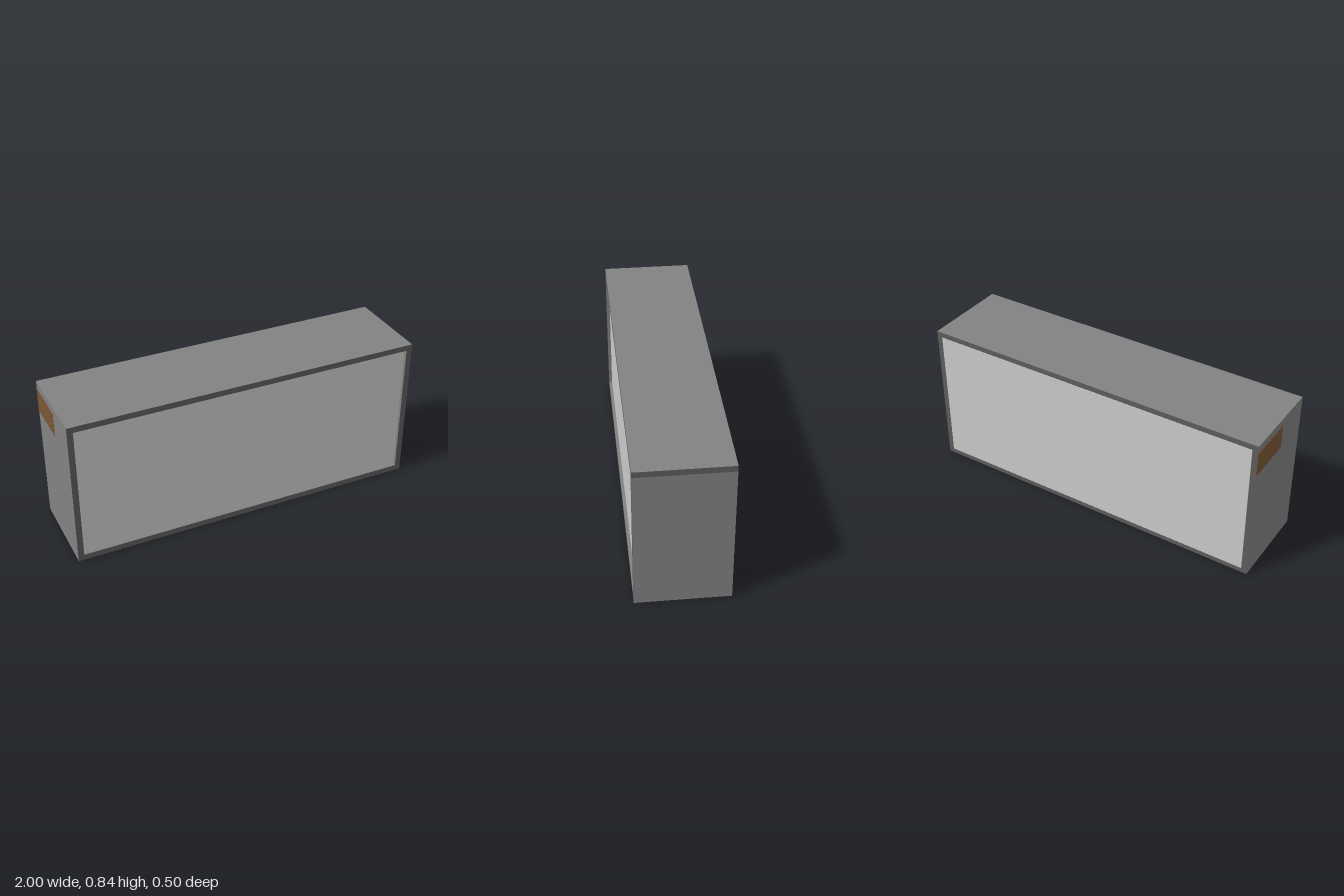
import * as THREE from 'three';

const mat = (color) => new THREE.MeshStandardMaterial({ color });

export function createModel() {
  const group = new THREE.Group();
  const body = mat(0x828282), edge = mat(0x5d5d5d), panel = mat(0xcccccc);
  const plate = mat(0xdde1df), rim = mat(0x8a4a28), fill = mat(0x7a5836);

  // box given by its lower and upper corners
  function box(name, [x0, y0, z0], [x1, y1, z1], material) {
    const mesh = new THREE.Mesh(new THREE.BoxGeometry(x1 - x0, y1 - y0, z1 - z0), material);
    mesh.position.set((x0 + x1) / 2, (y0 + y1) / 2, (z0 + z1) / 2);
    mesh.name = name;
    group.add(mesh);
    return mesh;
  }

  // case boards: lighter faces, dark cut edges at front and back
  const back = -0.25, front = 0.253, base = 0.002, top = 0.843, t = 0.033;
  const board = [body, body, body, body, edge, edge];
  const topBoard = [edge, body, body, body, edge, edge];
  box('topBoard', [-0.999, top - t, back], [1, top, front], topBoard);
  box('bottomBoard', [-0.999, base, back], [1, base + t, front], board);
  box('leftBoard', [1 - t, base + t, back], [1, top - t, front], board);
  box('rightBoard', [-0.999, base + t, back], [-0.999 + t, top - t, front], board);

  // recessed front panel and slightly proud back panel
  const w = 1 - t, low = base + t, high = top - t;
  box('frontPanel', [-w, low, 0.215], [w, high, 0.235], panel);
  box('backPanel', [-w, low - 0.004, back - 0.002], [w, high + 0.002, back + 0.02], panel);

  // rimmed label plate on the right side, near the top back corner
  box('sidePlateRim', [-1, 0.663, back], [-0.998, 0.798, 0.027], rim);
  box('sidePlate', [-1.0005, 0.67, back + 0.007], [-0.998, 0.791, 0.02], fill);

  // pair of rimmed plates under the base
  for (const s of [-1, 1]) {
    const x = s * 0.481;
    box('basePlateRim', [x - 0.215, 0.0007, -0.158], [x + 0.215, 0.004, 0.081], rim);
    box('basePlate', [x - 0.211, 0, -0.154], [x + 0.211, 0.004, 0.077], plate);
  }
  return group;
}
